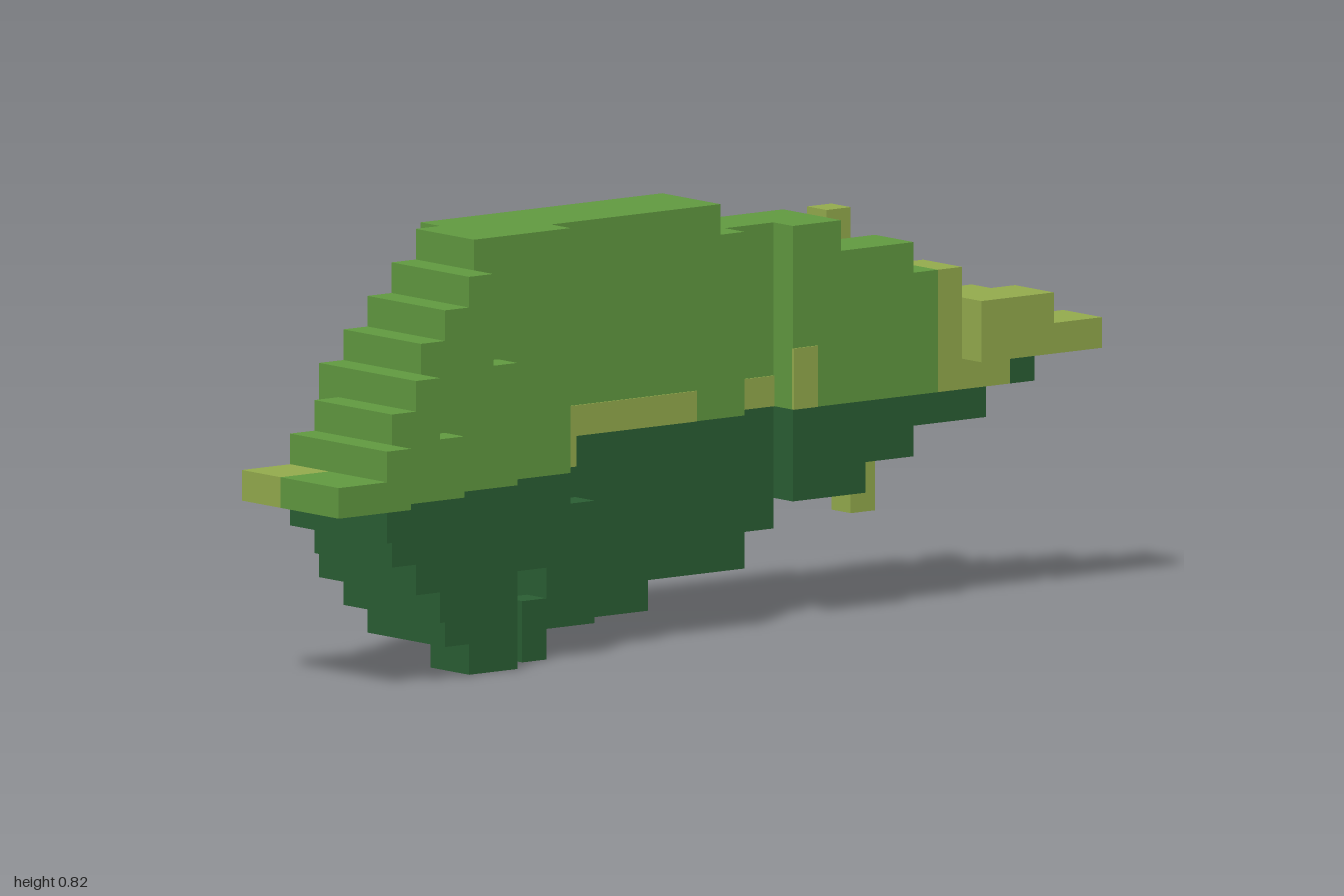
import * as THREE from 'three';
import { mergeGeometries } from 'three/addons/utils/BufferGeometryUtils.js';

const U = 2 / 34; // one block
const X = i => (i - 17) * U, Y = j => j * U, Z = k => (k - 4) * U;

function material(name, color) {
  const m = new THREE.MeshStandardMaterial({ color });
  m.name = name;
  return m;
}

// Box covering block ranges, end values exclusive
function block(i0, i1, j0, j1, k0, k1) {
  const g = new THREE.BoxGeometry((i1 - i0) * U, (j1 - j0) * U, (k1 - k0) * U);
  return g.translate(X((i0 + i1) / 2), Y((j0 + j1) / 2), Z((k0 + k1) / 2));
}

// Thin slanted strip on a plane of constant z
function strip(a, b, width, k) {
  const dx = (b[0] - a[0]) * U, dy = (b[1] - a[1]) * U;
  const g = new THREE.BoxGeometry(Math.hypot(dx, dy), width * U, 0.006);
  g.rotateZ(Math.atan2(dy, dx));
  return g.translate(X((a[0] + b[0]) / 2), Y((a[1] + b[1]) / 2), Z(k));
}

export function createModel() {
  const leafGreen = material('leaf green', 0x629b41);
  const darkGreen = material('dark green', 0x2b5f34);
  const veinGreen = material('vein yellow green', 0x95ad4e);
  const root = new THREE.Group();
  root.name = 'blockLeaf';

  const add = (name, mat, geos) => {
    const mesh = new THREE.Mesh(mergeGeometries(geos), mat);
    mesh.name = name;
    root.add(mesh);
  };

  // Blade as stepped slabs: first column, end column, bottom, top, back, front
  const slabs = [
    [2, 3, 5, 8, 3, 8], [3, 4, 4, 9, 3, 7], [4, 5, 3, 10, 2, 7],
    [5, 6, 2, 8, 2, 7], [5, 6, 8, 11, 2, 6],
    [6, 7, 1, 12, 2, 6], [7, 8, 1, 13, 2, 6],
    [8, 9, 1, 10, 2, 6], [8, 9, 10, 14, 2, 5], [7, 9, 0, 1, 4, 6],
    [9, 11, 3, 14, 1, 5], [10, 11, 0, 2, 4, 5], [11, 12, 1, 14, 1, 5],
    [12, 13, 1, 5, 1, 5], [12, 13, 5, 14, 1, 4],
    [13, 16, 1, 14, 1, 4], [16, 19, 2, 14, 1, 4], [19, 20, 2, 13, 1, 4],
    [20, 22, 3, 13, 1, 3], [22, 24, 4, 13, 1, 4], [24, 25, 4, 12, 2, 4],
    [25, 27, 5, 12, 2, 4], [27, 28, 6, 11, 2, 4],
    [28, 30, 6, 7, 2, 4], [31, 32, 7, 8, 3, 4],
  ];
  const upper = [], lower = [];
  for (const [i0, i1, j0, j1, k0, k1] of slabs) {
    const split = i0 >= 31 ? 8 : i0 >= 13 ? 7 : 6; // the lower half is darker
    if (j0 < split) lower.push(block(i0, i1, j0, Math.min(j1, split), k0, k1));
    if (j1 > split) upper.push(block(i0, i1, Math.max(j0, split), j1, k0, k1));
  }
  upper.push(block(0, 2, 6, 7, 5, 8));
  add('upperBlade', leafGreen, upper);
  add('lowerBlade', darkGreen, lower);

  // Stem plate at one end, pointed tip at the other
  add('stemEnd', veinGreen, [block(0, 2, 6, 7, 3, 5)]);
  add('leafTip', veinGreen, [
    block(28, 29, 7, 11, 2, 4), block(29, 31, 7, 10, 2, 4),
    block(29, 32, 8, 10, 4, 5), block(31, 32, 8, 10, 3, 4), block(32, 34, 8, 9, 3, 5),
  ]);

  // Raised V-shaped veins on the back: column, bottom, top
  const innerVein = [
    [15, 6, 8], [16, 5, 6], [16, 7, 8], [17, 4, 6], [17, 7, 9], [18, 4, 5], [18, 8, 10],
    [19, 3, 5], [19, 9, 11], [20, 3, 4], [20, 10, 11], [21, 3, 4],
  ];
  const outerVein = [
    [20, 6, 8], [21, 5, 6], [21, 7, 9], [22, 4, 6], [22, 8, 9], [23, 4, 5], [23, 8, 11],
    [24, 4, 5], [24, 10, 11],
  ];
  const ridge = list => list.map(([i, j0, j1]) => block(i, i + 1, j0, j1, 0, 1));
  add('innerVein', veinGreen, ridge(innerVein));
  add('outerVein', veinGreen, [
    ...ridge(outerVein),
    block(24, 25, 10, 12, 1, 2), block(25, 26, 11, 13, 1, 2), block(24, 26, 4, 5, 1, 2),
    block(26, 27, 3, 5, 1, 2), block(27, 28, 8, 9, 1, 2),
  ]);

  // Painted veins on the back
  add('paintedBackVeins', veinGreen, [
    strip([15.4, 11.6], [9.6, 6.2], 1.2, 1), strip([9.4, 6.1], [15.6, 2.6], 1.2, 1.01),
    strip([21.6, 12], [19.4, 10.2], 1, 1),
    strip([9, 6.5], [4, 6.5], 1, 2), strip([4, 6.5], [2, 6.5], 1, 3),
    strip([25, 8], [28, 8], 2, 2),
  ]);

  // Painted patches on the front
  add('paintedFrontVeins', veinGreen, [
    strip([12, 7.5], [18, 7.5], 1, 4), strip([12, 6.5], [13, 6.5], 1, 4),
    strip([20, 7.5], [22, 7.5], 1, 3), strip([22, 8], [23, 8], 2, 4),
  ]);
  return root;
}
